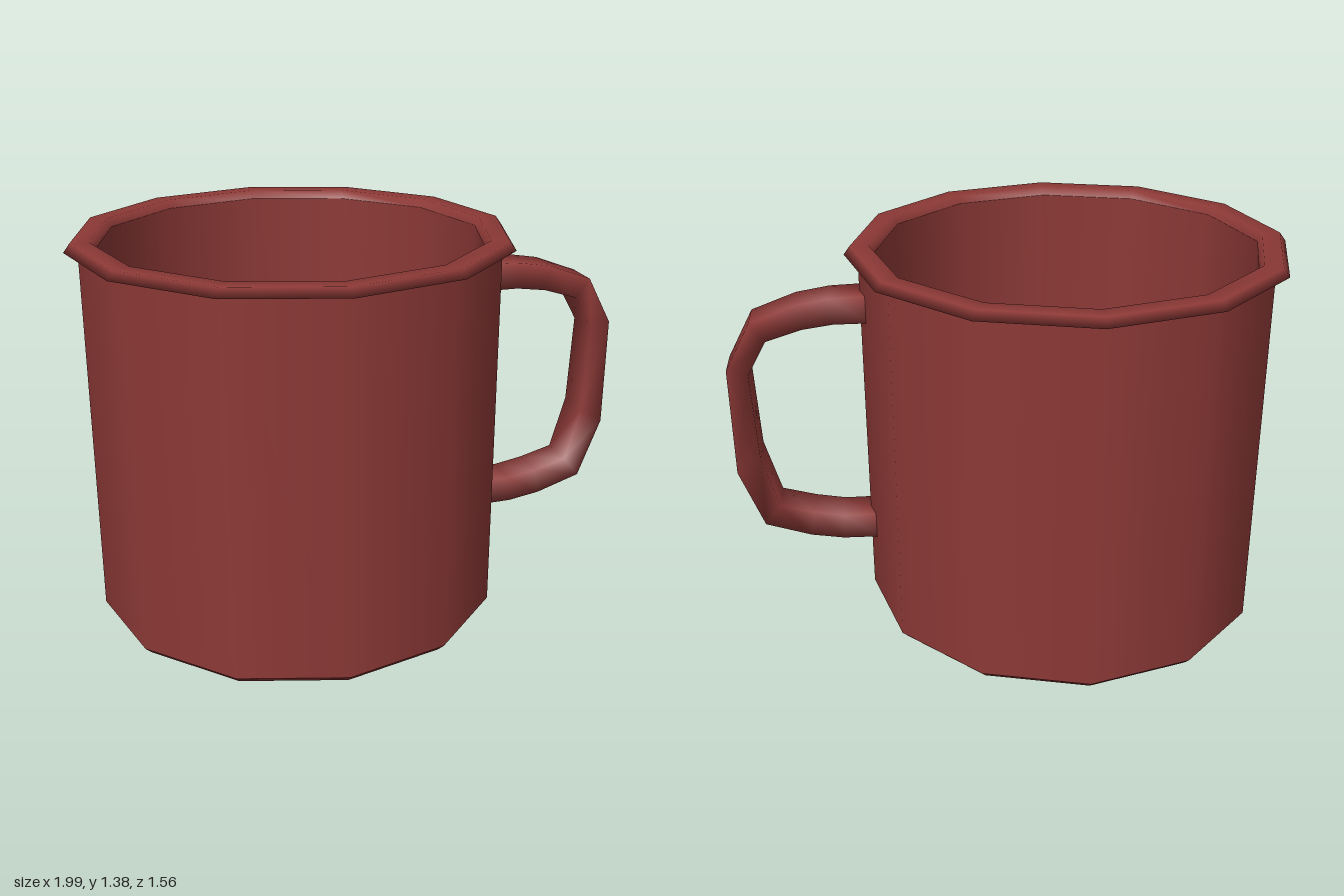
import * as THREE from 'three';

const CENTER_X = -0.22;
const SIDES = 12;

// Smooth-shaded band of four-cornered sections between an outer and an inner outline
function bandGeometry(outer, inner, halfWidth) {
  const positions = [], index = [];
  outer.forEach(([ox, oy], i) => {
    const [ix, iy] = inner[i];
    positions.push(ox, oy, halfWidth, ox, oy, -halfWidth, ix, iy, -halfWidth, ix, iy, halfWidth);
    if (i === 0) return;
    for (let k = 0; k < 4; k++) {
      const a = (i - 1) * 4 + k, b = (i - 1) * 4 + (k + 1) % 4;
      index.push(a, a + 4, b, b, a + 4, b + 4);
    }
  });
  const geometry = new THREE.BufferGeometry();
  geometry.setAttribute('position', new THREE.Float32BufferAttribute(positions, 3));
  geometry.setIndex(index);
  geometry.computeVertexNormals();
  return geometry;
}

export function createModel() {
  const group = new THREE.Group();
  group.name = 'mug';
  const enamel = new THREE.MeshStandardMaterial({ color: 0x8c3936, side: THREE.DoubleSide });

  const addLathe = (name, profile) => {
    const points = profile.map(([r, y]) => new THREE.Vector2(r, y));
    const mesh = new THREE.Mesh(new THREE.LatheGeometry(points, SIDES), enamel);
    mesh.position.x = CENTER_X;
    mesh.name = name;
    group.add(mesh);
  };

  // Outer wall with a small bevel around the flat base
  addLathe('base', [[0, 0], [0.71, 0], [0.735, 0.025]]);
  addLathe('outerWall', [[0.735, 0.025], [0.735, 1.355]]);

  // Overhanging lip
  addLathe('rim', [[0.735, 1.355], [0.782, 1.355], [0.76, 1.385], [0.695, 1.385], [0.68, 1.355]]);

  // Hollow inside, tapering slightly to the floor
  addLathe('innerWall', [[0.68, 1.355], [0.668, 0.05]]);
  addLathe('innerFloor', [[0.668, 0.05], [0, 0.05]]);

  // Handle: matching outer and inner outlines, top to bottom
  const outer = [[0.48, 1.225], [0.62, 1.22], [0.74, 1.2], [0.9, 1.14], [0.993, 0.965],
    [0.99, 0.56], [0.905, 0.34], [0.74, 0.285], [0.62, 0.265], [0.48, 0.262]];
  const inner = [[0.48, 1.125], [0.61, 1.125], [0.72, 1.11], [0.848, 1.07], [0.918, 0.945],
    [0.902, 0.615], [0.845, 0.415], [0.72, 0.38], [0.61, 0.36], [0.48, 0.36]];
  const handle = new THREE.Mesh(bandGeometry(outer, inner, 0.07), enamel);
  handle.name = 'handle';
  group.add(handle);

  return group;
}
